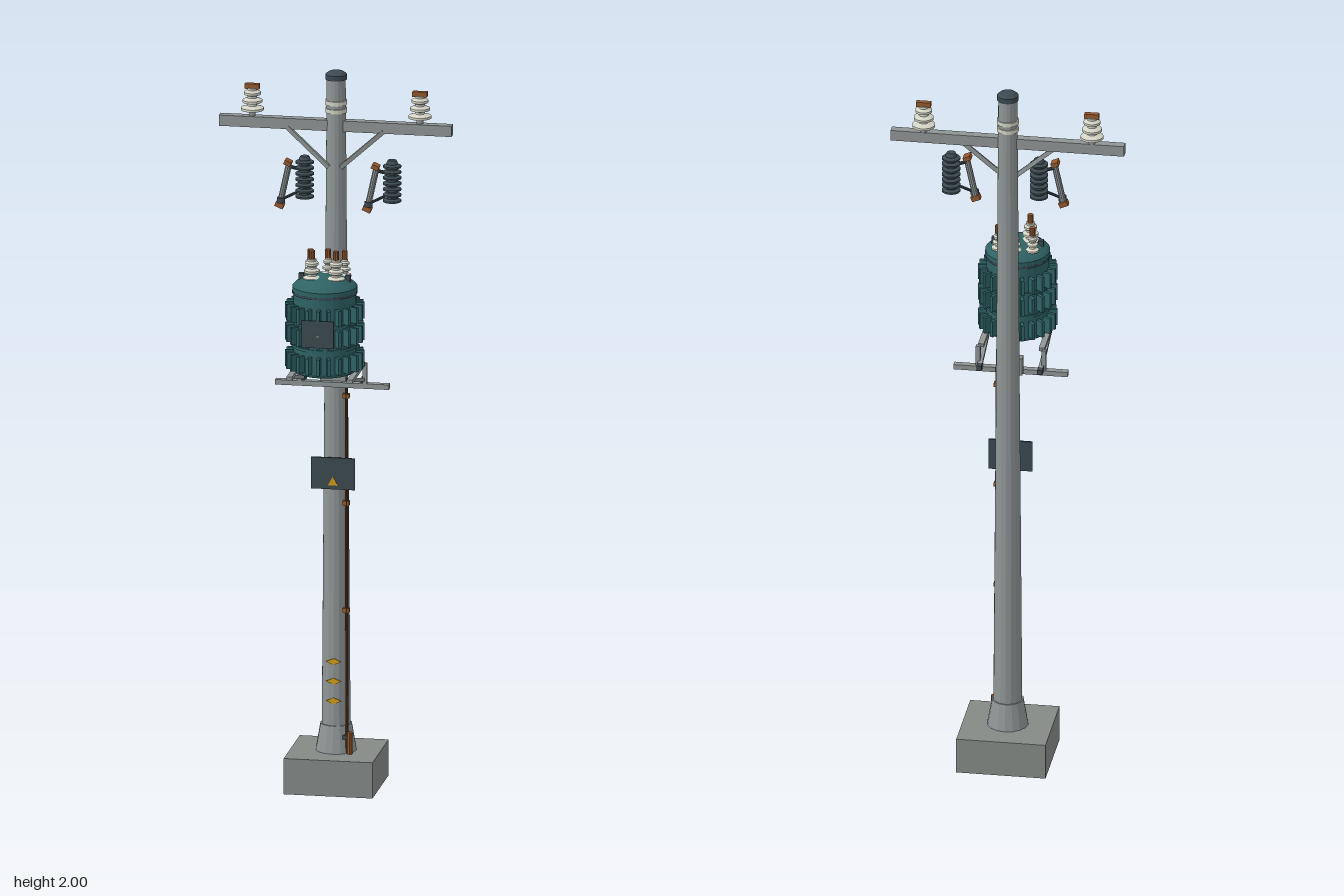
import * as THREE from 'three';

const mat = (name, color, flat = true) => {
  const m = new THREE.MeshStandardMaterial({ color, flatShading: flat });
  m.name = name;
  return m;
};

export function createModel() {
  const concrete = mat('concrete', 0x858a87);
  const steel = mat('galvanised steel', 0x8f9595);
  const teal = mat('teal paint', 0x2f6264);
  const slate = mat('dark slate', 0x3c4a51);
  const porcelain = mat('porcelain', 0xd3d4c6);
  const copper = mat('copper', 0x95592f);
  const yellow = mat('warning yellow', 0xd09c1c);
  const wire = mat('brown wire', 0x5a3c28);

  const root = new THREE.Group();
  const V = (x, y, z) => new THREE.Vector3(x, y, z);
  const add = (name, geo, m, x = 0, y = 0, z = 0, parent = root) => {
    const mesh = new THREE.Mesh(geo, m);
    mesh.name = name;
    mesh.position.set(x, y, z);
    parent.add(mesh);
    return mesh;
  };
  const box = (name, w, h, d, m, x, y, z, parent) =>
    add(name, new THREE.BoxGeometry(w, h, d), m, x, y, z, parent);
  const cyl = (name, rTop, rBottom, h, m, x, y, z, parent, sides = 14) =>
    add(name, new THREE.CylinderGeometry(rTop, rBottom, h, sides), m, x, y, z, parent);
  const lathe = (name, pts, m, x, y, z, parent, sides = 20) =>
    add(name, new THREE.LatheGeometry(pts.map(p => new THREE.Vector2(...p)), sides), m, x, y, z, parent);
  const group = (name, x = 0, y = 0, z = 0) => {
    const g = new THREE.Group();
    g.name = name;
    g.position.set(x, y, z);
    root.add(g);
    return g;
  };
  // Aligns the long y axis of a bar or rod with the line a-b
  const along = (mesh, a, b) => {
    mesh.position.copy(a).add(b).multiplyScalar(0.5);
    mesh.quaternion.setFromUnitVectors(V(0, 1, 0), b.clone().sub(a).normalize());
  };
  const bar = (name, a, b, w, d, m, parent) =>
    along(box(name, w, a.distanceTo(b), d, m, 0, 0, 0, parent), a, b);
  const rod = (name, a, b, r, m, parent) =>
    along(cyl(name, r, r, a.distanceTo(b), m, 0, 0, 0, parent, 10), a, b);
  // Ribbed insulator profile: sheds between y = 0 and h, shrinking from r0 to r1
  const sheds = (r0, r1, core, h, n) => {
    const pts = [[0, 0]];
    for (let i = 0; i < n; i++) {
      const r = r0 + (r1 - r0) * i / Math.max(1, n - 1), y = h * i / n, s = h / n;
      pts.push([core, y], [r, y + s * 0.2], [r, y + s * 0.5], [core, y + s * 0.75]);
    }
    pts.push([core, h], [0, h]);
    return pts;
  };

  // Footing and pole
  const pz = -0.08;
  box('footing', 0.244, 0.1, 0.242, concrete, 0, 0.05, -0.079);
  cyl('pole', 0.026, 0.04, 1.88, steel, 0, 1.04, pz, root, 16);
  cyl('poleCollar', 0.043, 0.056, 0.075, steel, 0, 0.1375, pz, root, 16);
  lathe('poleCap', [[0, 0], [0.029, 0], [0.029, 0.014], [0.02, 0.021], [0, 0.024]], slate, 0, 1.976, pz);
  for (const y of [1.89, 1.912]) cyl('poleBand', 0.03, 0.03, 0.012, porcelain, 0, y, pz, root, 16);

  // Crossarm with braces and pin insulators
  box('crossarm', 0.638, 0.03, 0.024, steel, 0, 1.848, -0.077);
  for (const s of [-1, 1]) {
    bar('crossarmBrace', V(s * 0.132, 1.838, -0.068), V(s * 0.016, 1.735, -0.056), 0.012, 0.008, steel);
    const g = group('pinInsulator', s * 0.23, 1.862, pz);
    cyl('insulatorPin', 0.009, 0.009, 0.02, steel, 0, 0.01, 0, g);
    lathe('insulatorSheds', sheds(0.031, 0.023, 0.013, 0.066, 3), porcelain, 0, 0.012, 0, g);
    box('insulatorClamp', 0.04, 0.014, 0.014, copper, 0, 0.083, 0, g);
  }

  // Fuse cutouts, each with a ribbed arrester and a leaning fuse tube
  for (const s of [-1, 1]) {
    const g = group('fuseCutout', s * 0.12, 0, -0.005);
    lathe('arresterSheds', sheds(0.025, 0.025, 0.015, 0.112, 7), slate, 0.045, 1.655, -0.012, g);
    cyl('arresterCap', 0.012, 0.016, 0.008, slate, 0.045, 1.77, -0.012, g);
    rod('fuseTube', V(0.004, 1.752, 0), V(-0.02, 1.642, 0), 0.0085, steel, g);
    box('upperContact', 0.02, 0.012, 0.028, copper, 0.002, 1.757, 0, g).rotation.z = -0.4;
    box('lowerContact', 0.024, 0.014, 0.02, copper, -0.021, 1.638, 0, g).rotation.z = -0.4;
    rod('upperLink', V(0.004, 1.745, -0.004), V(0.04, 1.735, -0.01), 0.005, slate, g);
    rod('lowerLink', V(-0.018, 1.652, 0.002), V(0.04, 1.68, -0.01), 0.004, slate, g);
    cyl('lowerHinge', 0.011, 0.011, 0.014, slate, -0.017, 1.652, 0.004, g);
  }

  // Transformer tank
  const tank = group('transformer', 0, 0, 0.09);
  lathe('tankBody', [[0, 1.205], [0.08, 1.205], [0.085, 1.215], [0.085, 1.432], [0, 1.432]], teal, 0, 0, 0, tank, 28);
  lathe('tankLid', [[0, 1.43], [0.088, 1.43], [0.088, 1.444], [0.08, 1.452], [0.06, 1.466], [0, 1.472]], teal, 0, 0, 0, tank, 28);
  cyl('lidGasket', 0.0885, 0.0885, 0.006, slate, 0, 1.428, 0, tank, 28);
  for (const y of [1.28, 1.347]) cyl('tankHoop', 0.088, 0.088, 0.008, teal, 0, y, 0, tank, 28);
  for (const [y0, y1] of [[1.218, 1.264], [1.293, 1.34], [1.354, 1.398]])
    for (let i = 0; i < 22; i++) {
      const a = i / 22 * Math.PI * 2;
      const fin = box('coolingFin', 0.009, y1 - y0, 0.026, teal,
        Math.sin(a) * 0.094, (y0 + y1) / 2, Math.cos(a) * 0.094, tank);
      fin.rotation.y = a;
    }
  box('nameplate', 0.088, 0.076, 0.004, slate, 0, 1.335, 0.107, tank);
  box('nameplateRivet', 0.008, 0.005, 0.002, steel, 0, 1.33, 0.11, tank);
  for (const s of [-1, 1]) box('liftingLug', 0.014, 0.026, 0.014, slate, s * 0.064, 1.463, 0, tank);

  // Bushings: x, z, shed radius, height
  for (const [x, z, r, h] of [[-0.047, 0.049, 0.018, 0.05], [0, 0.041, 0.018, 0.05], [0.047, 0.049, 0.018, 0.05],
    [-0.033, 0.103, 0.025, 0.062], [0.033, 0.103, 0.025, 0.062]]) {
    const g = group('bushing', x, 1.458, z);
    lathe('bushingSheds', sheds(r, r * 0.72, r * 0.5, h, 3), porcelain, 0, 0, 0, g, 16);
    cyl('bushingTerminal', 0.008, 0.008, 0.026, copper, 0, h + 0.011, 0, g, 10);
  }

  // Transformer support bracket
  box('supportBar', 0.312, 0.014, 0.018, steel, 0, 1.137, -0.025);
  for (const s of [-1, 1]) {
    box('supportRail', 0.016, 0.01, 0.19, steel, s * 0.083, 1.2, 0.076);
    bar('supportStrut', V(s * 0.083, 1.194, 0.13), V(s * 0.083, 1.15, -0.035), 0.012, 0.01, steel);
    box('supportPost', 0.012, 0.062, 0.012, steel, s * 0.09, 1.17, -0.022);
    box('postFoot', 0.014, 0.014, 0.03, slate, s * 0.083, 1.148, -0.04);
  }
  box('poleBracket', 0.07, 0.05, 0.024, steel, 0, 1.16, -0.042);
  cyl('bracketBolt', 0.01, 0.01, 0.03, porcelain, 0, 1.175, -0.025);

  // Warning sign with a yellow triangle
  box('warningSign', 0.12, 0.088, 0.006, slate, 0, 0.884, -0.034);
  const triangle = new THREE.Shape([[-0.014, -0.011], [0.014, -0.011], [0, 0.014]].map(p => new THREE.Vector2(...p)));
  add('warningTriangle', new THREE.ExtrudeGeometry(triangle, { depth: 0.002, bevelEnabled: false }),
    yellow, 0, 0.862, -0.031);

  // Yellow diamond markers on the lower pole
  const diamond = new THREE.Shape([[-0.021, 0], [0, -0.009], [0.021, 0], [0, 0.009]].map(p => new THREE.Vector2(...p)));
  for (const y of [0.245, 0.3, 0.355])
    add('poleMarker', new THREE.ExtrudeGeometry(diamond, { depth: 0.004, bevelEnabled: false }), yellow, 0, y, -0.0425);

  // Ground wire with its clamps
  rod('groundWire', V(0.037, 0.1, -0.042), V(0.035, 1.15, -0.042), 0.0045, wire);
  for (const y of [0.145, 0.5, 0.8, 1.1])
    box('wireClamp', 0.018, 0.012, 0.014, y < 0.2 ? slate : copper, 0.034, y, -0.045);
  cyl('groundRod', 0.008, 0.008, 0.06, copper, 0.045, 0.13, -0.038, root, 10);
  return root;
}
